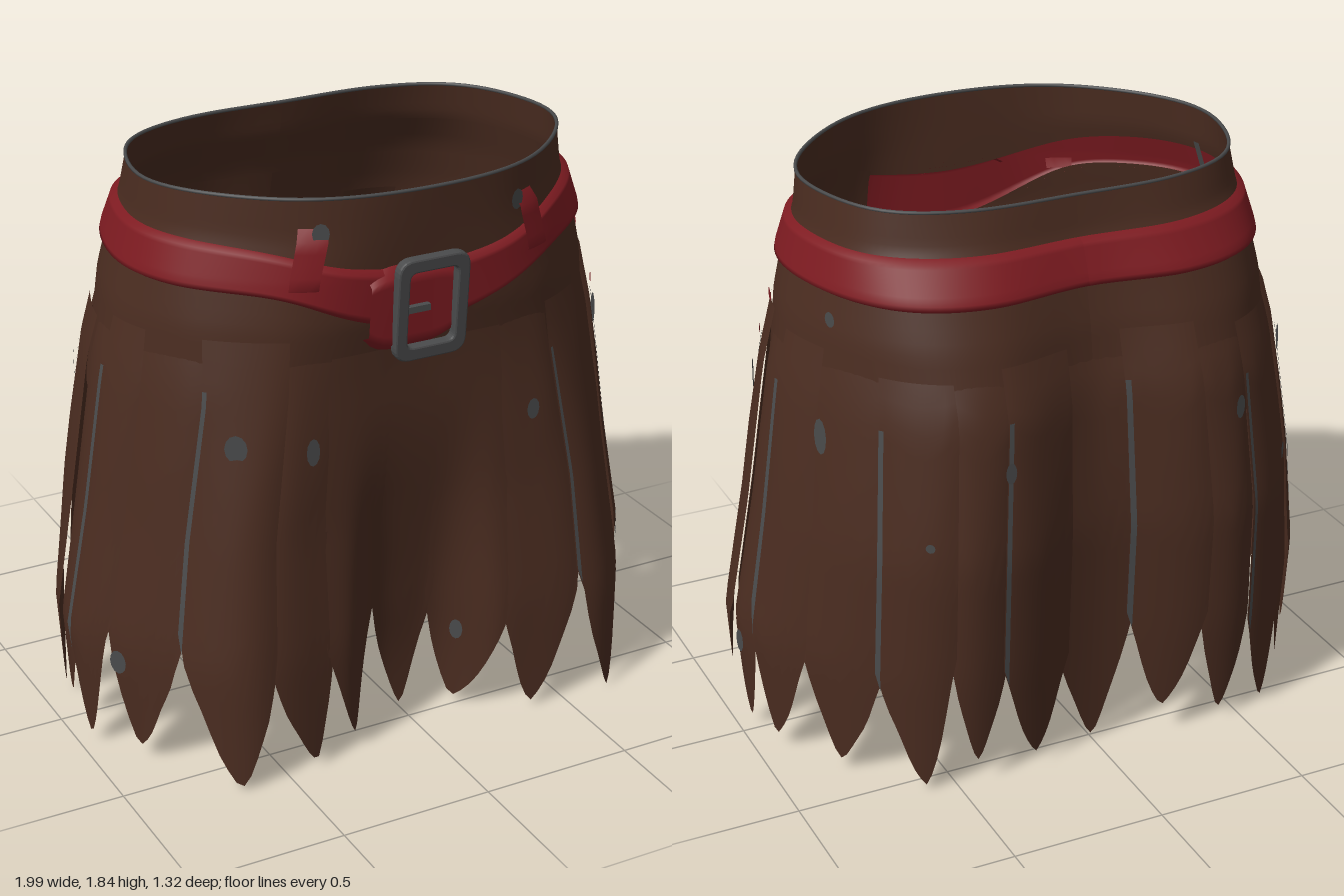
import * as THREE from 'three';

const mat = (name, color) => {
  const m = new THREE.MeshStandardMaterial({ color, side: THREE.DoubleSide });
  m.name = name;
  return m;
};

// Half outlines [x, z] from front centre round the left side to back centre, per height
const RINGS = [
  [1.85, [[0, .59], [.25, .56], [.45, .46], [.63, .27], [.695, .08], [.64, -.15], [.52, -.29], [.3, -.36], [0, -.365]]],
  [1.72, [[0, .58], [.26, .56], [.46, .46], [.64, .28], [.71, .08], [.66, -.17], [.53, -.32], [.31, -.4], [0, -.39]]],
  [1.6, [[0, .57], [.29, .56], [.49, .47], [.68, .29], [.745, .07], [.69, -.2], [.55, -.39], [.32, -.47], [0, -.44]]],
  [1.25, [[0, .56], [.32, .565], [.52, .52], [.72, .36], [.84, .06], [.76, -.26], [.57, -.52], [.33, -.61], [0, -.53]]],
  [.8, [[0, .58], [.36, .585], [.6, .57], [.79, .36], [.91, .06], [.81, -.3], [.6, -.57], [.36, -.65], [0, -.56]]],
  [.4, [[0, .61], [.36, .625], [.64, .62], [.85, .38], [.985, .06], [.84, -.3], [.61, -.56], [.36, -.63], [0, -.54]]],
  [.0, [[0, .61], [.33, .625], [.63, .64], [.83, .39], [.96, .06], [.82, -.29], [.6, -.54], [.35, -.59], [0, -.52]]],
].map(([y, half]) => {
  const mirrored = half.slice(1, -1).reverse().map(([x, z]) => [-x, z]);
  const pts = [...half, ...mirrored].map(([x, z]) => new THREE.Vector3(x, 0, z));
  return { y, curve: new THREE.CatmullRomCurve3(pts, true, 'catmullrom', 0.5) };
});

// Point on the garment: s runs 0..16 round the body (0 front, 4 left, 8 back)
function ringPoint(s, y) {
  const t = (((s % 16) + 16) % 16) / 16;
  let k = 0;
  while (k < RINGS.length - 2 && y < RINGS[k + 1].y) k++;
  const a = RINGS[k], b = RINGS[k + 1];
  const f = THREE.MathUtils.clamp((a.y - y) / (a.y - b.y), 0, 1);
  const p = a.curve.getPoint(t).lerp(b.curve.getPoint(t), f).setY(y);
  // The front panel falls inwards between the legs
  if (p.z > 0) p.z -= .16 * (1 - THREE.MathUtils.smoothstep(y, .1, 1.25)) * Math.exp(-((p.x / .2) ** 4));
  return p;
}
function outward(s, y) {
  const d = ringPoint(s + .05, y).sub(ringPoint(s - .05, y));
  return new THREE.Vector3(-d.z, 0, d.x).normalize();
}
const onBody = (s, y, off) => ringPoint(s, y).addScaledVector(outward(s, y), off);

// Cloth sheet between two stations; top, bottom and offset are rules
function sheet(s0, s1, cols, rows, top, bottom, off) {
  const pos = [], idx = [];
  for (let i = 0; i <= cols; i++) {
    const u = i / cols, s = s0 + (s1 - s0) * u;
    for (let j = 0; j <= rows; j++) {
      const v = j / rows, y = THREE.MathUtils.lerp(top(s, u), bottom(s, u), v);
      pos.push(...onBody(s, y, off(u, v, y)).toArray());
    }
  }
  for (let i = 0; i < cols; i++) for (let j = 0; j < rows; j++) {
    const a = i * (rows + 1) + j, b = a + rows + 1;
    idx.push(a, a + 1, b, b, a + 1, b + 1);
  }
  const g = new THREE.BufferGeometry();
  g.setAttribute('position', new THREE.Float32BufferAttribute(pos, 3));
  g.setIndex(idx);
  g.computeVertexNormals();
  return g;
}

function roundedRect(path, w, h, r) {
  path.moveTo(-w + r, -h);
  path.lineTo(w - r, -h); path.quadraticCurveTo(w, -h, w, -h + r);
  path.lineTo(w, h - r); path.quadraticCurveTo(w, h, w - r, h);
  path.lineTo(-w + r, h); path.quadraticCurveTo(-w, h, -w, h - r);
  path.lineTo(-w, -h + r); path.quadraticCurveTo(-w, -h, -w + r, -h);
  return path;
}

export function createModel() {
  const brown = mat('brown leather', 0x4a2c20);
  const red = mat('red belt', 0x7e1b21);
  const grey = mat('dark metal', 0x4a4b4c);
  const model = new THREE.Group();
  model.name = 'tatteredKilt';
  const add = (name, geo, m) => {
    const mesh = new THREE.Mesh(geo, m);
    mesh.name = name;
    model.add(mesh);
    return mesh;
  };
  const flat = (h) => () => h;
  const beltTop = (s) => 1.705 - .1 * Math.exp(-((s / 1.6) ** 2));
  const beltLow = (s) => 1.565 - .15 * Math.exp(-((s / 1.2) ** 2));

  // Waistband above the belt, yoke below it; the lining leaves the belt bare inside the right front
  const rimHeight = (s) => 1.84 + .01 * Math.cos(s * Math.PI / 8);
  add('waistband', sheet(-8, 8, 128, 6, rimHeight, (s) => beltTop(s) - .015, flat(0)), brown);
  add('yoke', sheet(-8, 8, 128, 14, (s) => beltLow(s) + .015, flat(1.1),
    (u, v, y) => -.025 * THREE.MathUtils.clamp((1.45 - y) / .2, 0, 1)), brown);
  add('innerLining', sheet(1, 10, 72, 4, beltTop, beltLow, flat(-.004)), brown);
  for (const s of [-3.7, -4.5])
    add('innerClasp', sheet(s - .06, s + .06, 2, 4, flat(1.72), flat(1.54), flat(-.008)), grey);
  const rim = [];
  for (let i = 0; i < 48; i++) rim.push(onBody(i / 3, rimHeight(i / 3), 0));
  add('waistRim', new THREE.TubeGeometry(new THREE.CatmullRomCurve3(rim, true), 96, .006, 6, true), grey);

  // Torn strips: [station of tip, tip height]
  const teeth = [[-3.2, .06], [-2.1, .02], [-1.2, .04], [-.68, .07], [0, .03], [.45, .04], [1.15, .03], [2.15, .01],
    [3.1, .06], [3.6, .17], [4.1, .05], [4.5, .06], [5.15, .05], [6.05, .03], [6.7, .1], [7.35, .07], [8, .03],
    [8.6, .12], [9.25, .06], [9.95, .04], [10.7, .06], [11.4, .05], [11.9, .13], [12.3, .05]];
  const n = teeth.length;
  teeth.forEach(([c, tip], i) => {
    const prev = i ? teeth[i - 1][0] : teeth[n - 1][0] - 16;
    const next = i < n - 1 ? teeth[i + 1][0] : teeth[0][0] + 16;
    const a = (prev + c) / 2 - .04, b = (next + c) / 2 + .04;
    const centre = Math.abs(c) < .7;
    const top = centre ? 1.35 : 1.4 + .03 * Math.sin(i * 2.3);
    const base = centre ? -.012 : i % 2 ? .004 : -.014;
    const notch = (side) => .44 + .06 * Math.sin((i + side) * 1.9);
    const hem = (s) => {
      const left = s < c;
      const w = left ? (c - s) / (c - a) : (s - c) / (b - c);
      const jag = .012 * Math.sin(s * 23 + i);
      return tip + (notch(left ? 0 : 1) - tip) * Math.pow(w, 1.4) + jag * w;
    };
    const bulge = (u, v) => base + (centre ? 0 : .012 * Math.sin(Math.PI * u) * Math.min(1, v * 3));
    add('tornStrip', sheet(a, b, 14, 18, flat(top), hem, bulge), brown);
    // Frayed dark edge on the raised strips
    if (i % 2 && !centre) add('stripEdge', sheet(a, a + .05, 1, 16, flat(top - .15), hem, flat(base + .007)), grey);
  });

  // Belt dipping towards the buckle
  const padded = (d) => (u, v) => (v === 0 || v === 1 ? 0 : d);
  add('belt', sheet(-8, 8, 128, 12, beltTop, beltLow, padded(.02)), red);
  add('beltTongue', sheet(-.66, .3, 12, 10, (s, u) => 1.62 - .03 * (2 * u - 1) ** 4,
    (s, u) => 1.35 + .05 * (2 * u - 1) ** 4, padded(.036)), red);
  for (const s of [-1.45, 1.45])
    add('beltTab', sheet(s - .2, s + .2, 3, 6, flat(1.76), flat(1.55), padded(.024)), red);

  // Buckle frame and prong, leaning with the belt
  const frame = roundedRect(new THREE.Shape(), .115, .16, .045);
  frame.holes.push(roundedRect(new THREE.Path(), .086, .128, .03));
  const buckle = new THREE.ExtrudeGeometry(frame, {
    depth: .02, bevelEnabled: true, bevelSize: .006, bevelThickness: .008, bevelSegments: 2, curveSegments: 6 });
  const frameMesh = add('buckleFrame', buckle, grey);
  frameMesh.position.set(-.01, 1.49, .605);
  frameMesh.rotation.x = .08;
  const prong = add('buckleProng', new THREE.BoxGeometry(.1, .02, .02), grey);
  prong.position.set(-.065, 1.49, .617);

  // Metal studs and worn patches: [station, height, half width, half height]
  const studs = [[1.22, 1.75, .026, .032], [-1.35, 1.75, .026, .032], [-2.25, 1.11, .035, .045], [-1.2, 1.08, .022, .045],
    [1.15, 1.06, .022, .035], [-3.3, .36, .03, .04], [.45, .31, .022, .035], [3.55, 1.17, .035, .05],
    [4.95, 1.15, .025, .06], [4.95, 1.5, .02, .025], [6.1, .88, .015, .015], [4.15, .35, .02, .04],
    [7, 1.1, .018, .035], [9.4, 1.15, .018, .04], [10.3, .9, .016, .03], [11.2, 1.15, .022, .045]];
  const disc = (name, [s, y, w, h], m) => {
    const d = add(name, new THREE.CircleGeometry(1, 12), m);
    d.position.copy(onBody(s, y, .019));
    d.lookAt(d.position.clone().add(outward(s, y)));
    d.scale.set(w, h, 1);
  };
  studs.forEach((p) => disc('metalStud', p, grey));
  disc('redScrap', [3.75, 1.46, .025, .02], red);
  disc('redScrap', [3.4, 1.3, .015, .015], red);
  return model;
}
